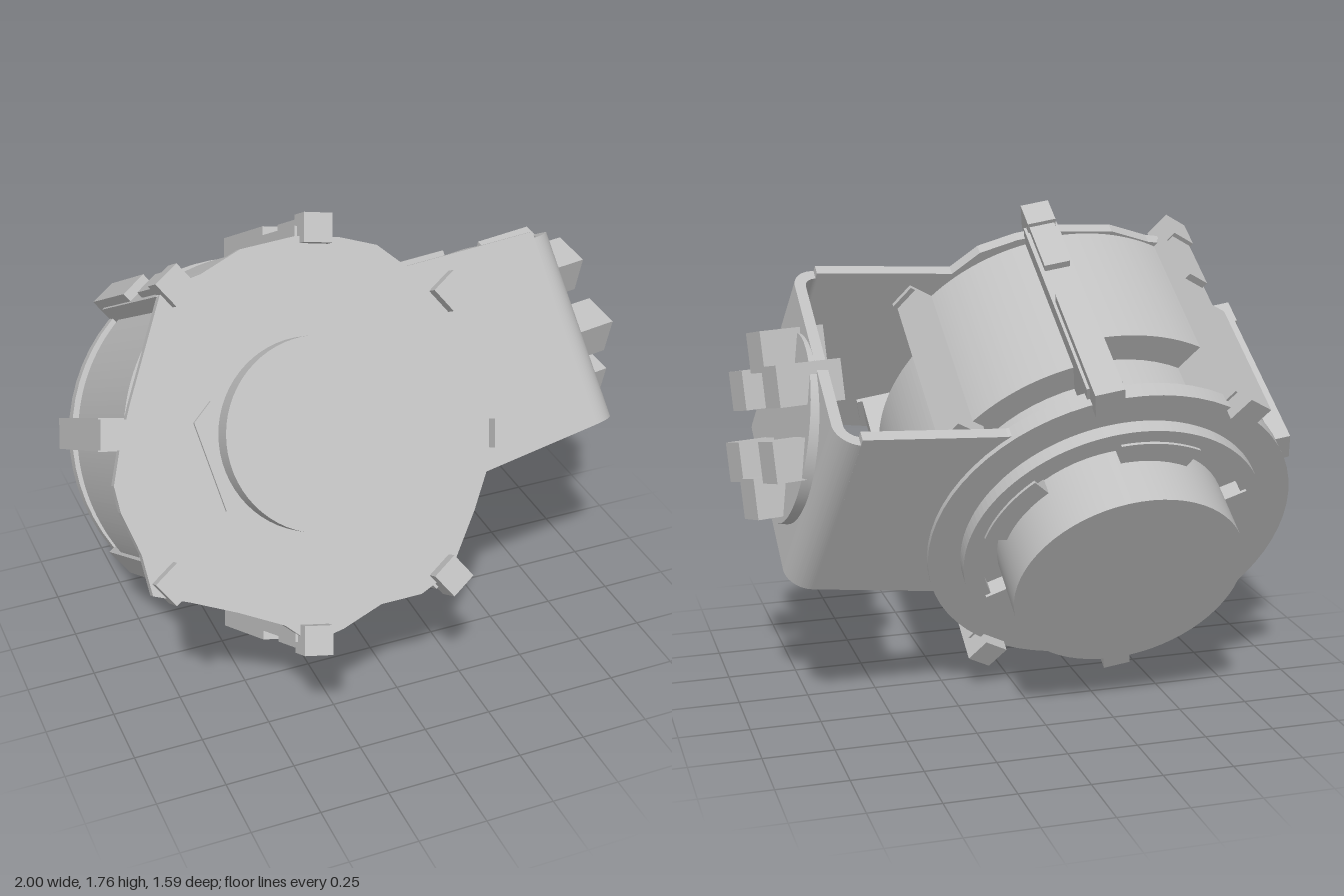
import * as THREE from 'three';

const CX = -0.27, CY = 0.767; // drum axis in the tilted frame
const rad = THREE.MathUtils.degToRad;

export function createModel() {
  const grey = new THREE.MeshStandardMaterial({ color: 0xc0c0c0 });
  grey.name = 'plain grey';
  const root = new THREE.Group();
  root.name = 'jointHousing';
  const body = new THREE.Group();
  body.name = 'tiltedBody';
  body.rotation.x = rad(-30);
  root.add(body);

  const add = (name, geo, parent) => {
    const m = new THREE.Mesh(geo, grey);
    m.name = name;
    parent.add(m);
    return m;
  };
  const polygon = pts => new THREE.Shape(pts.map(([x, y]) => new THREE.Vector2(x, y)));
  const extrude = (shape, z0, z1, curveSegments = 32) =>
    new THREE.ExtrudeGeometry(shape, { depth: z1 - z0, bevelEnabled: false, curveSegments }).translate(0, 0, z0);

  // everything centred on the drum axis
  const drum = new THREE.Group();
  drum.name = 'drum';
  drum.position.set(CX, CY, 0);
  body.add(drum);

  const disc = (name, r, z0, z1, sides = 64) =>
    add(name, new THREE.CylinderGeometry(r, r, z1 - z0, sides).rotateX(Math.PI / 2).translate(0, 0, (z0 + z1) / 2), drum);
  const sector = (name, r0, r1, a0, a1, z0, z1) => {
    const s = new THREE.Shape();
    s.absarc(0, 0, r1, rad(a0), rad(a1), false);
    s.absarc(0, 0, r0, rad(a1), rad(a0), true);
    return add(name, extrude(s, z0, z1, a1 - a0 > 180 ? 64 : 16), drum);
  };

  // front plate with the arm reaching to the bracket, and a polygonal recess
  const front = polygon([
    [-0.65, 1.345], [-0.55, 1.363], [-0.4, 1.42], [-0.2, 1.43], [-0.05, 1.4], [0.08, 1.35], [0.17, 1.26],
    [0.66, 1.295], [0.76, 0.583], [0.32, 0.51], [0.25, 0.39], [0.12, 0.2], [0, 0.15], [-0.15, 0.15],
    [-0.3, 0.1], [-0.42, 0.08], [-0.5, 0.16], [-0.65, 0.24], [-0.8, 0.31], [-0.92, 0.36], [-0.93, 0.5],
    [-0.97, 0.65], [-0.975, 0.74], [-0.93, 0.86], [-0.87, 0.99], [-0.7, 1.32],
  ]);
  const hole = new THREE.Path();
  for (let i = 0; i < 11; i++) {
    const a = rad(84 - i * 360 / 11);
    const x = CX + 0.49 * Math.cos(a), y = CY + 0.49 * Math.sin(a);
    if (i) hole.lineTo(x, y); else hole.moveTo(x, y);
  }
  hole.closePath();
  front.holes.push(hole);
  add('frontPlate', extrude(front, 0.845, 0.885), body);
  disc('recessFloor', 0.505, 0.8, 0.872);
  disc('frontCap', 0.33, 0.86, 0.965);
  add('recessRib', extrude(polygon([[-0.35, -0.19], [-0.33, 0.18], [-0.4, 0.12]]), 0.86, 0.885), drum);

  // back plate, its arm and the stepped rear cap
  disc('backPlate', 0.655, 0, 0.06);
  add('backArm', extrude(polygon([
    [-0.1, 1.3], [0.17, 1.26], [0.66, 1.295], [0.76, 0.583], [0.32, 0.51], [0, 0.4],
  ]), 0.018, 0.058), body);
  sector('rearRing', 0.47, 0.54, 0, 360, -0.05, 0.01);
  disc('rearCap', 0.41, -0.24, 0.01);
  for (let i = 0; i < 5; i++) {
    sector('rearFin', 0.39, 0.49, i * 72 + 10, i * 72 + 45, -0.06, 0.01);
  }

  // core and the panels between the bars: start angle, end angle, radius, depth range
  disc('core', 0.54, 0.04, 0.86);
  const panels = [
    [-11, 33, 0.705, 0.08, 0.6], [34, 78, 0.64, 0.2, 0.85], [79, 123, 0.65, 0.3, 0.85],
    [124, 168, 0.645, 0.12, 0.85], [169, 213, 0.665, 0.2, 0.85], [213, 232, 0.635, 0.06, 0.85],
    [232, 258, 0.585, 0.06, 0.85], [304, 348, 0.625, 0.05, 0.85],
  ];
  for (const [a0, a1, r, z0, z1] of panels) sector('sidePanel', 0.5, r, a0, a1, z0, z1);

  // eight clamp bars with square front lugs
  for (let i = 0; i < 8; i++) {
    const clamp = new THREE.Group();
    clamp.name = 'clampBar';
    clamp.rotation.z = rad(33.5 + 45 * i);
    drum.add(clamp);
    const bar = (name, r, wr, wt, z0, z1) =>
      add(name, new THREE.BoxGeometry(wr, wt, z1 - z0).translate(r, 0, (z0 + z1) / 2), clamp);
    bar('frontLug', 0.69, 0.1, 0.1, 0.83, 0.935);
    if (i === 0 || i === 7) {
      bar('innerBar', 0.655, 0.13, 0.1, 0.15, 0.85);
    } else if (i === 3) {
      bar('sideBar', 0.675, 0.11, 0.11, 0.2, 0.85);
    } else if (i === 4) {
      bar('cornerBar', 0.61, 0.13, 0.11, 0.05, 0.85);
      bar('frontClamp', 0.67, 0.07, 0.09, 0.7, 0.85);
    } else {
      bar('rearClamp', 0.685, 0.1, 0.1, -0.04, 0.46);
      bar('linkBar', 0.61, 0.18, 0.12, 0.03, 0.86);
      bar('frontClamp', 0.685, 0.08, 0.09, 0.62, 0.85);
    }
  }

  // U-shaped bracket end, drawn in the outward and axis directions
  const bracket = new THREE.Group();
  bracket.name = 'bracketEnd';
  bracket.position.set(0.86, 0.6, 0);
  bracket.rotation.z = rad(9.5);
  body.add(bracket);
  const W0 = 0.018, W1 = 0.885, T = 0.04, R = 0.09;
  const u = new THREE.Shape();
  u.moveTo(-0.14, -W0);
  u.lineTo(-R, -W0);
  u.absarc(-R, -W0 - R, R, Math.PI / 2, 0, true);
  u.absarc(-R, -W1 + R, R, 0, -Math.PI / 2, true);
  u.lineTo(-0.14, -W1);
  u.lineTo(-0.14, -W1 + T);
  u.absarc(-R, -W1 + R, R - T, -Math.PI / 2, 0, false);
  u.absarc(-R, -W0 - R, R - T, 0, Math.PI / 2, false);
  u.lineTo(-0.14, -W0 - T);
  add('endPlate', extrude(u, 0, 0.695, 10).rotateX(-Math.PI / 2), bracket);

  // round pad with a ring of six pegs that lean to the rear through the end plate
  const pad = new THREE.Group();
  pad.name = 'pegPad';
  pad.position.set(0, 0.365, 0.43);
  bracket.add(pad);
  const padDisc = add('padDisc', new THREE.CylinderGeometry(0.33, 0.33, 0.04, 48).rotateZ(Math.PI / 2), pad);
  padDisc.rotation.y = rad(-3);
  for (let i = 0; i < 6; i++) {
    const a = rad(60 * i - 15);
    const peg = add('peg', new THREE.BoxGeometry(0.23, 0.14, 0.14).rotateX(rad(45)), pad);
    peg.position.set(0.025, 0.25 * Math.sin(a) + 0.01, 0.25 * Math.cos(a) + 0.02);
    peg.rotation.set(0, rad(10), rad(-4));
  }
  return root;
}
